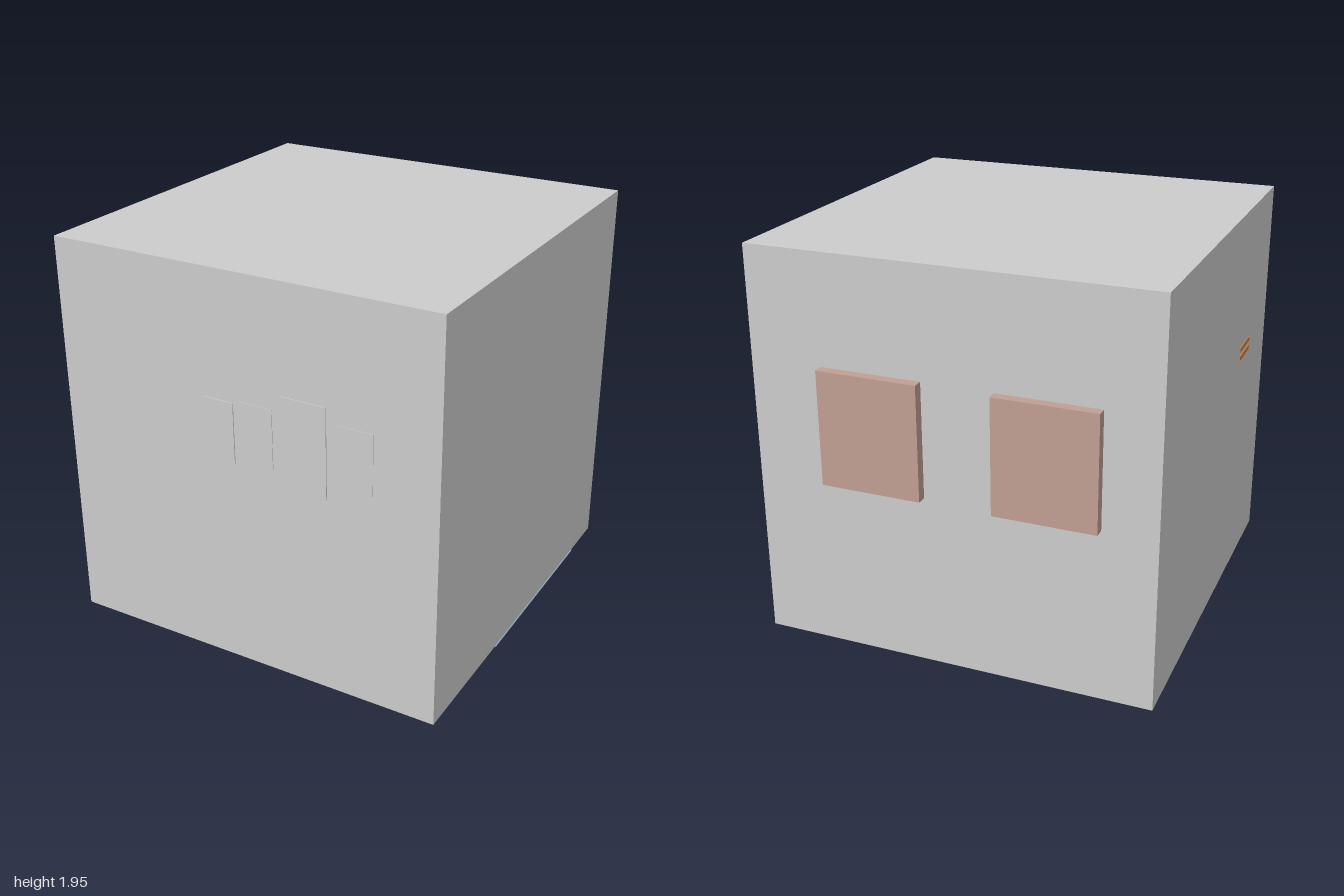
import * as THREE from 'three';

const material = (color) => new THREE.MeshStandardMaterial({ color });

export function createModel() {
  const model = new THREE.Group();
  const grey = material(0xcccccc);
  const clay = material(0xbf9f93);
  const blue = material(0x99b2ce);
  const orange = material(0xc08040);

  // Box given by its extents along each axis
  function block(name, [x0, x1], [y0, y1], [z0, z1], mat) {
    const mesh = new THREE.Mesh(new THREE.BoxGeometry(x1 - x0, y1 - y0, z1 - z0), mat);
    mesh.position.set((x0 + x1) / 2, (y0 + y1) / 2, (z0 + z1) / 2);
    mesh.name = name;
    model.add(mesh);
    return mesh;
  }

  // Main cube
  block('body', [-0.972, 0.972], [0.003, 1.947], [-0.95, 0.995], grey);

  // Thin plates on the front: x range, y range, front z
  [
    [[-0.19, -0.035], [1.04, 1.34], 1],
    [[-0.01, 0.165], [1.07, 1.355], 0.998],
    [[0.21, 0.435], [0.99, 1.43], 1],
    [[0.48, 0.66], [1.07, 1.36], 0.998],
  ].forEach(([x, y, z], i) => block(`frontPlate${i + 1}`, x, y, [0.98, z], grey));

  // Raised panels on the back
  [[-0.713, -0.223], [0.124, 0.614]].forEach((x, i) =>
    block(`backPanel${i + 1}`, x, [0.855, 1.415], [-1, -0.94], clay));

  // Pair of short bars on the right side
  [1.2, 1.245].forEach((y, i) =>
    block(`sideBar${i + 1}`, [-0.978, -0.96], [y - 0.011, y + 0.011], [0.4, 0.6], orange));

  // Inlays on the underside
  block('largeBaseInlay', [-0.405, 0.976], [0, 0.006], [-0.68, 0.325], blue);
  const small = block('smallBaseInlay', [0.196, 0.486], [0, 0.006], [0.415, 0.795], blue);
  small.rotation.y = 0.37;

  // Tiny studs under the base
  for (const x of [-0.87, -0.235])
    for (const z of [0.665, 0.95])
      block('baseStud', [x - 0.007, x + 0.007], [0, 0.006], [z - 0.007, z + 0.007], grey);

  return model;
}
